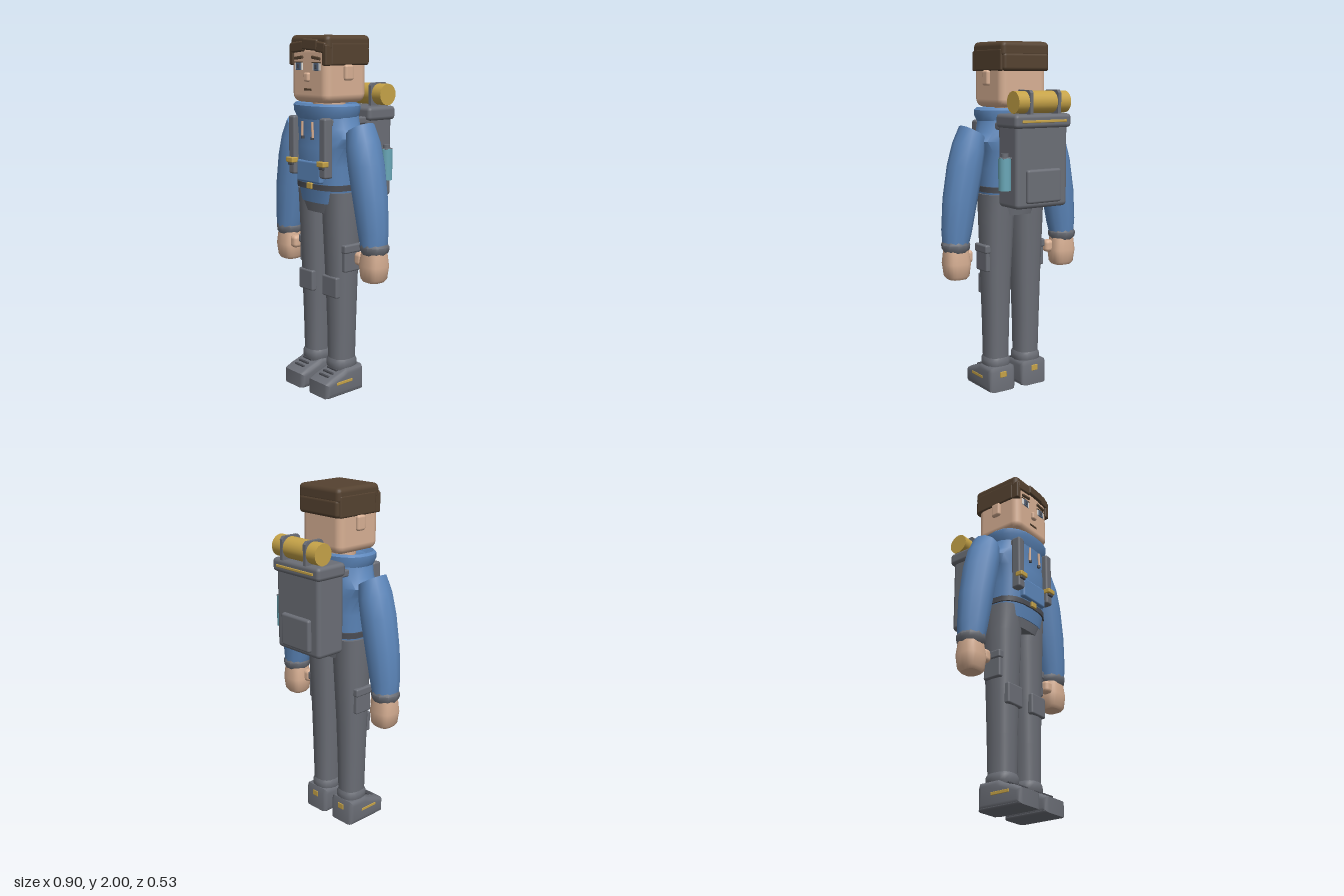
import * as THREE from 'three';
import { toCreasedNormals } from 'three/addons/utils/BufferGeometryUtils.js';
import { RoundedBoxGeometry } from 'three/addons/geometries/RoundedBoxGeometry.js';

const mat = (name, color) => {
  const m = new THREE.MeshStandardMaterial({ color });
  m.name = name;
  return m;
};

export function createModel() {
  const skin = mat('skin', 0xd8b094), hair = mat('brown hair', 0x554230), blue = mat('blue cloth', 0x5c86ba);
  const grey = mat('grey cloth', 0x6b6e76), dark = mat('dark grey', 0x4a4c53), gold = mat('mustard', 0xc6a348);
  const teal = mat('teal', 0x6aa8b8), white = mat('eye white', 0xe6e2dc), iris = mat('iris', 0x566880);
  const model = new THREE.Group();

  const add = (name, geo, material, x = 0, y = 0, z = 0, rz = 0) => {
    const m = new THREE.Mesh(geo, material);
    m.name = name;
    m.position.set(x, y, z);
    m.rotation.z = rz;
    model.add(m);
    return m;
  };
  // box given by its ranges on each axis
  const box = (name, material, [x0, x1], [y0, y1], [z0, z1], r = 0.008, rz = 0) => {
    const w = x1 - x0, h = y1 - y0, d = z1 - z0;
    const geo = new RoundedBoxGeometry(w, h, d, 2, Math.min(r, w * 0.45, h * 0.45, d * 0.45));
    return add(name, geo, material, (x0 + x1) / 2, (y0 + y1) / 2, (z0 + z1) / 2, rz);
  };
  // the same box on side s (+1 or -1)
  const sideBox = (s, name, material, [a, b], ys, zs, r, rz = 0) =>
    box(name, material, s > 0 ? [a, b] : [-b, -a], ys, zs, r, rz * s);
  // closed loft, sections bottom to top: [x, y, z, rx, rz, tilt, power]
  const loft = (name, material, sections, n = 16) => {
    const pos = [], idx = [];
    const pw = (v, p) => Math.sign(v) * Math.abs(v) ** (2 / p);
    for (const [x, y, z, rx, rz, tilt = 0, p = 2] of sections) {
      for (let i = 0; i < n; i++) {
        const a = (i / n) * Math.PI * 2, u = rx * pw(Math.cos(a), p);
        pos.push(x + u * Math.cos(tilt), y + u * Math.sin(tilt), z + rz * pw(Math.sin(a), p));
      }
    }
    const last = sections.length - 1, c = pos.length / 3;
    pos.push(...sections[0].slice(0, 3), ...sections[last].slice(0, 3));
    for (let i = 0; i < n; i++) {
      const j = (i + 1) % n;
      for (let k = 0; k < last; k++) {
        const a = k * n + i, b = k * n + j;
        idx.push(a, a + n, b, b, a + n, b + n);
      }
      idx.push(c, i, j, c + 1, last * n + j, last * n + i);
    }
    const g = new THREE.BufferGeometry();
    g.setAttribute('position', new THREE.Float32BufferAttribute(pos, 3));
    g.setIndex(idx);
    return add(name, toCreasedNormals(g, 0.75), material);
  };

  // head and face
  box('head', skin, [-0.153, 0.153], [1.64, 1.95], [-0.067, 0.232], 0.045);
  box('nose', skin, [-0.02, 0.02], [1.753, 1.803], [0.22, 0.25], 0.012);
  box('mouth', hair, [-0.032, 0.032], [1.706, 1.718], [0.226, 0.236], 0.003);
  loft('neck', skin, [[0, 1.55, 0.08, 0.09, 0.09], [0, 1.67, 0.08, 0.09, 0.09]]);
  for (const s of [1, -1]) {
    sideBox(s, 'ear', skin, [0.14, 0.173], [1.76, 1.845], [0.05, 0.11], 0.014);
    sideBox(s, 'eyeWhite', white, [0.042, 0.108], [1.813, 1.856], [0.229, 0.236], 0.003);
    sideBox(s, 'eyeIris', iris, [0.054, 0.094], [1.813, 1.856], [0.232, 0.239], 0.003);
    sideBox(s, 'eyePupil', dark, [0.065, 0.083], [1.823, 1.846], [0.235, 0.241], 0.002);
    sideBox(s, 'upperLid', hair, [0.04, 0.11], [1.853, 1.859], [0.23, 0.239], 0.002);
    sideBox(s, 'eyebrow', hair, [0.037, 0.107], [1.872, 1.888], [0.227, 0.242], 0.004, -0.12);
    sideBox(s, 'sideHair', hair, [0.135, 0.16], [1.84, 1.96], [-0.07, 0.2], 0.012);
    sideBox(s, 'sideburn', hair, [0.122, 0.156], [1.84, 1.95], [0.19, 0.238], 0.008);
  }

  // hair
  box('hairTop', hair, [-0.158, 0.158], [1.91, 2.0], [-0.085, 0.23], 0.028);
  box('hairBack', hair, [-0.15, 0.15], [1.84, 1.94], [-0.088, -0.03], 0.02);
  box('fringeRight', hair, [-0.145, -0.03], [1.908, 1.965], [0.2, 0.24], 0.01, 0.1);
  box('fringeMiddle', hair, [-0.04, 0.085], [1.92, 1.98], [0.2, 0.244], 0.01, -0.06);
  box('fringeLeft', hair, [0.06, 0.145], [1.908, 1.965], [0.2, 0.24], 0.01, -0.12);

  // hooded top
  loft('torso', blue, [
    [0, 1.17, 0.09, 0.182, 0.125, 0, 2.6], [0, 1.3, 0.09, 0.187, 0.138, 0, 2.6],
    [0, 1.4, 0.09, 0.2, 0.142, 0, 2.4], [0, 1.455, 0.085, 0.25, 0.142, 0, 2],
    [0, 1.505, 0.09, 0.2, 0.142, 0, 2.4], [0, 1.6, 0.095, 0.18, 0.14, 0, 2.4]], 20);
  loft('collar', blue, [
    [0, 1.55, 0.095, 0.18, 0.138, 0, 2.4], [0, 1.595, 0.1, 0.203, 0.148, 0, 2.4],
    [0, 1.625, 0.1, 0.203, 0.15, 0, 2.4], [0, 1.638, 0.1, 0.188, 0.138, 0, 2.4],
    [0, 1.61, 0.1, 0.15, 0.11, 0, 2.4]], 20);
  loft('hem', blue, [[0, 1.09, 0.085, 0.172, 0.118, 0, 2.6], [0, 1.17, 0.088, 0.185, 0.126, 0, 2.6]], 20);
  loft('belt', dark, [[0, 1.167, 0.085, 0.193, 0.137, 0, 2.7], [0, 1.198, 0.085, 0.193, 0.137, 0, 2.7]], 20);
  box('beltBuckle', gold, [-0.022, 0.022], [1.17, 1.203], [0.21, 0.232], 0.004);
  box('frontPocket', blue, [-0.1, 0.1], [1.205, 1.325], [0.2, 0.236], 0.012);
  loft('pelvis', grey, [[0, 1.035, 0.08, 0.13, 0.108, 0, 3], [0, 1.11, 0.082, 0.168, 0.12, 0, 3]], 20);

  for (const s of [1, -1]) {
    // drawstrings and shoulder straps
    const string = new THREE.CylinderGeometry(0.007, 0.007, 0.085, 8);
    add('drawstring', string, skin, s * 0.044, 1.497, 0.238, s * 0.05);
    add('drawstringTip', new THREE.CylinderGeometry(0.009, 0.009, 0.016, 8), dark, s * 0.041, 1.452, 0.238);
    sideBox(s, 'shoulderStrap', grey, [0.106, 0.158], [1.24, 1.565], [0.19, 0.247], 0.012);
    sideBox(s, 'strapBuckle', gold, [0.103, 0.161], [1.305, 1.335], [0.22, 0.264], 0.006);
    sideBox(s, 'strapClip', dark, [0.112, 0.152], [1.29, 1.308], [0.22, 0.258], 0.005);
    sideBox(s, 'strapOverShoulder', grey, [0.108, 0.156], [1.52, 1.56], [-0.06, 0.22], 0.01);

    // arm, cuff, hand
    loft('sleeve', blue, [
      [s * 0.367, 0.885, 0.08, 0.073, 0.076, s * 0.06], [s * 0.36, 0.96, 0.08, 0.086, 0.084, s * 0.1],
      [s * 0.337, 1.13, 0.08, 0.097, 0.096, s * 0.15], [s * 0.303, 1.31, 0.08, 0.1, 0.102, s * 0.22],
      [s * 0.278, 1.42, 0.08, 0.092, 0.1, s * 0.36], [s * 0.255, 1.507, 0.08, 0.076, 0.085, s * 0.52]], 12);
    loft('cuff', grey, [
      [s * 0.368, 0.845, 0.078, 0.068, 0.068], [s * 0.368, 0.865, 0.078, 0.08, 0.08],
      [s * 0.368, 0.888, 0.078, 0.082, 0.082], [s * 0.366, 0.91, 0.08, 0.07, 0.072]], 10);
    loft('hand', skin, [
      [s * 0.363, 0.69, 0.078, 0.052, 0.05, 0, 3], [s * 0.364, 0.708, 0.078, 0.067, 0.063, 0, 3],
      [s * 0.365, 0.78, 0.078, 0.076, 0.071, 0, 3], [s * 0.367, 0.86, 0.078, 0.068, 0.062, 0, 2.6]], 20);
    sideBox(s, 'thumb', skin, [0.253, 0.31], [0.768, 0.842], [0.07, 0.13], 0.022);

    // leg, pockets, knee patch
    loft('trouserLeg', grey, [
      [s * 0.105, 0.16, 0.083, 0.068, 0.074, 0, 2.6], [s * 0.105, 0.4, 0.082, 0.073, 0.079, 0, 2.6],
      [s * 0.104, 0.65, 0.082, 0.081, 0.086, 0, 2.6], [s * 0.101, 1.0, 0.08, 0.093, 0.102, 0, 2.6],
      [s * 0.1, 1.155, 0.08, 0.095, 0.112, 0, 2.6]], 16);
    loft('ankleCuff', grey, [
      [s * 0.105, 0.13, 0.083, 0.07, 0.077, 0, 2.6], [s * 0.105, 0.15, 0.083, 0.077, 0.083, 0, 2.6],
      [s * 0.105, 0.178, 0.083, 0.077, 0.083, 0, 2.6], [s * 0.105, 0.195, 0.083, 0.068, 0.075, 0, 2.6]]);
    sideBox(s, 'kneePatch', grey, [0.042, 0.166], [0.562, 0.682], [0.14, 0.176], 0.01);
    sideBox(s, 'thighPocket', grey, [0.165, 0.2], [0.712, 0.85], [0.025, 0.14], 0.01);
    sideBox(s, 'thighPocketFlap', grey, [0.165, 0.207], [0.82, 0.868], [0.02, 0.145], 0.01);

    // shoe
    const profile = new THREE.Shape([[-0.01, 0], [0.268, 0], [0.268, 0.085], [0.22, 0.108],
      [0.15, 0.13], [0.12, 0.148], [0.0, 0.148], [-0.01, 0.12]].map(p => new THREE.Vector2(...p)));
    const shoe = new THREE.ExtrudeGeometry(profile, {
      depth: 0.124, bevelSize: 0.026, bevelThickness: 0.026, bevelOffset: -0.026, bevelSegments: 3 });
    shoe.translate(0, 0, -0.062).rotateY(-Math.PI / 2);
    add('shoe', toCreasedNormals(shoe, 0.6), grey, s * 0.11, 0, 0);
    sideBox(s, 'sole', grey, [0.026, 0.194], [0, 0.045], [-0.004, 0.262], 0.012);
    sideBox(s, 'shoeStripe', gold, [0.193, 0.2], [0.068, 0.086], [0.08, 0.198], 0.003);
    sideBox(s, 'heelTab', gold, [0.088, 0.132], [0.085, 0.12], [-0.014, -0.006], 0.003);
    for (let i = 0; i < 3; i++) {
      const y = 0.138 - i * 0.013, z = 0.157 + i * 0.03;
      sideBox(s, 'lace', dark, [0.07, 0.15], [y - 0.008, y + 0.004], [z - 0.007, z + 0.007], 0.004);
    }

    // bedroll strap: square band around the roll
    const band = new THREE.Shape();
    const r = 0.064;
    band.moveTo(-r, -r).lineTo(r, -r).lineTo(r, r - 0.015).lineTo(r - 0.015, r)
      .lineTo(0.015 - r, r).lineTo(-r, r - 0.015).lineTo(-r, -r);
    band.holes.push(new THREE.Path().absarc(0, 0, 0.055, 0, Math.PI * 2, true));
    const ring = new THREE.ExtrudeGeometry(band, { depth: 0.02, bevelEnabled: false, curveSegments: 16 });
    ring.translate(0, 0, -0.01).rotateY(-Math.PI / 2);
    add('bedrollStrap', ring, grey, s * 0.091, 1.676, -0.203);
  }

  // backpack
  box('packBody', grey, [-0.17, 0.17], [1.1, 1.56], [-0.24, -0.05], 0.025);
  box('packLid', grey, [-0.185, 0.185], [1.535, 1.612], [-0.255, -0.05], 0.022);
  box('packPocket', grey, [-0.112, 0.112], [1.13, 1.315], [-0.262, -0.22], 0.014);
  box('lidTrim', gold, [-0.145, 0.145], [1.566, 1.58], [-0.262, -0.253], 0.003);
  const roll = add('bedroll', new THREE.CylinderGeometry(0.06, 0.06, 0.34, 20), gold, 0, 1.675, -0.205, Math.PI / 2);
  roll.rotation.order = 'XYZ';
  add('bottle', new THREE.CylinderGeometry(0.035, 0.035, 0.175, 12), teal, 0.2, 1.29, -0.168);
  add('bottleCap', new THREE.CylinderGeometry(0.021, 0.021, 0.025, 12), grey, 0.2, 1.389, -0.168);
  box('bottleHolder', grey, [0.16, 0.225], [1.372, 1.382], [-0.195, -0.141], 0.004);
  return model;
}
